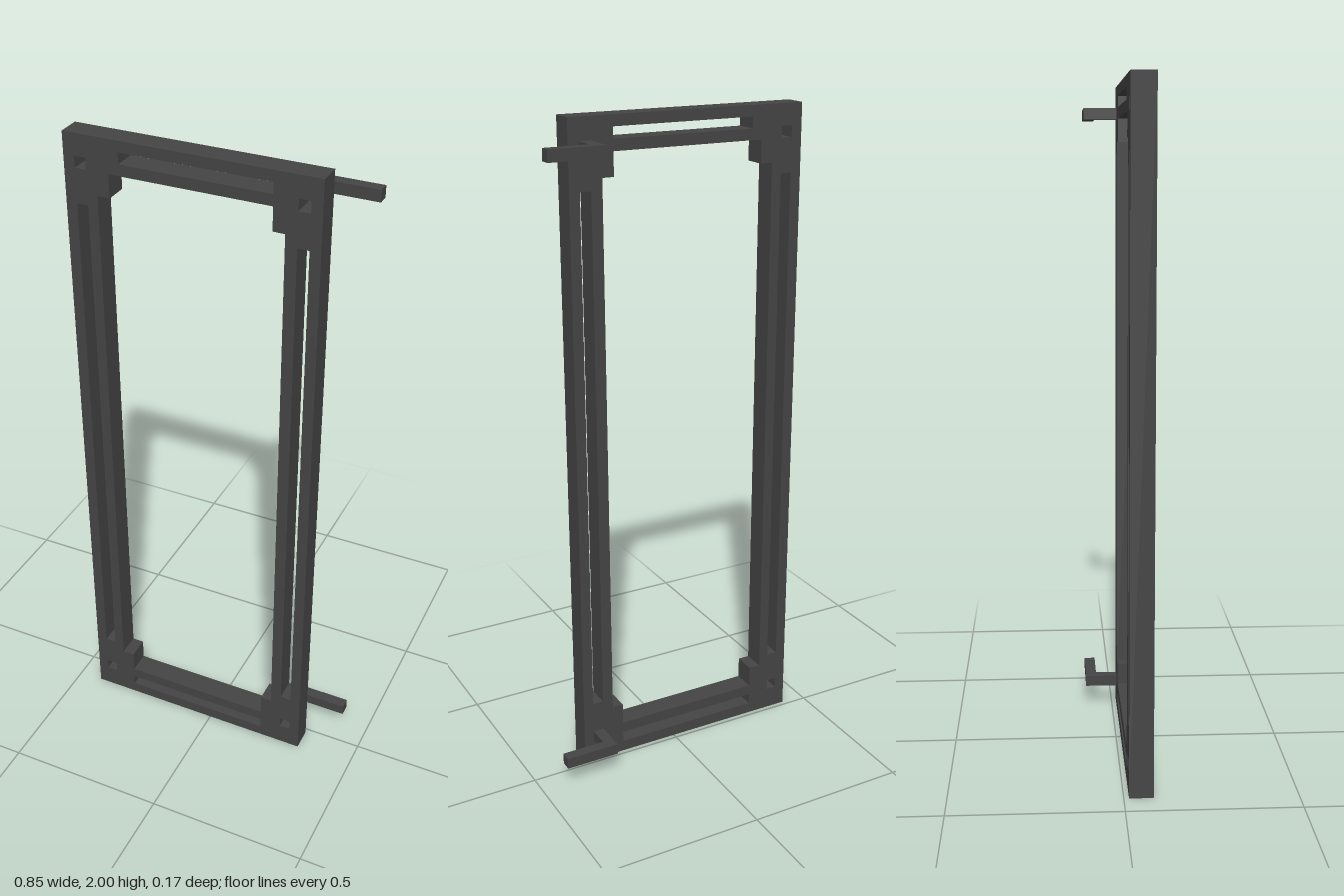
import * as THREE from 'three';

const Z_BACK = 0.015, Z_FRONT = 0.085;

export function createModel() {
  const model = new THREE.Group();
  model.name = 'wallFrame';
  const darkGrey = new THREE.MeshStandardMaterial({ color: 0x444444 });
  darkGrey.name = 'darkGrey';

  const path = (points) => new THREE.Path(points.map(([x, y]) => new THREE.Vector2(x, y)));
  const rect = (x0, x1, y0, y1) => path([[x0, y0], [x0, y1], [x1, y1], [x1, y0]]);

  // Frame outline with a stepped opening that leaves a gusset in each corner
  const shape = new THREE.Shape();
  shape.moveTo(-0.423, 0).lineTo(0.32, 0).lineTo(0.32, 2).lineTo(-0.423, 2).closePath();
  shape.holes.push(path([
    [-0.325, 0.17], [-0.325, 1.833], [-0.288, 1.833], [-0.288, 1.902],
    [0.185, 1.902], [0.185, 1.833], [0.22, 1.833], [0.22, 0.17],
    [0.185, 0.17], [0.185, 0.103], [-0.288, 0.103], [-0.288, 0.17],
  ]));

  // Long slots in the four rails
  shape.holes.push(
    rect(-0.39, -0.356, 0.202, 1.8),
    rect(0.254, 0.288, 0.202, 1.8),
    rect(-0.257, 0.185, 1.935, 1.968),
    rect(-0.288, 0.185, 0.035, 0.069),
  );

  // Square corner holes
  for (const x of [-0.39, 0.254]) {
    for (const y of [0.069, 1.902]) shape.holes.push(rect(x, x + 0.034, y, y + 0.034));
  }

  const frame = new THREE.Mesh(
    new THREE.ExtrudeGeometry(shape, { depth: Z_FRONT - Z_BACK, bevelEnabled: false }), darkGrey);
  frame.position.z = Z_BACK;
  frame.name = 'frame';
  model.add(frame);

  // L-shaped hinge pins behind the left rail
  const box = (name, parent, x0, x1, z0, z1) => {
    const mesh = new THREE.Mesh(new THREE.BoxGeometry(x1 - x0, 0.034, z1 - z0), darkGrey);
    mesh.position.set((x0 + x1) / 2, 0, (z0 + z1) / 2);
    mesh.name = name;
    parent.add(mesh);
  };
  for (const [name, y] of [['lowerBracket', 0.086], ['upperBracket', 1.919]]) {
    const bracket = new THREE.Group();
    bracket.name = name;
    bracket.position.y = y;
    box('post', bracket, 0.254, 0.288, -0.052, Z_BACK);
    box('arm', bracket, 0.254, 0.423, -0.086, -0.052);
    model.add(bracket);
  }
  return model;
}
